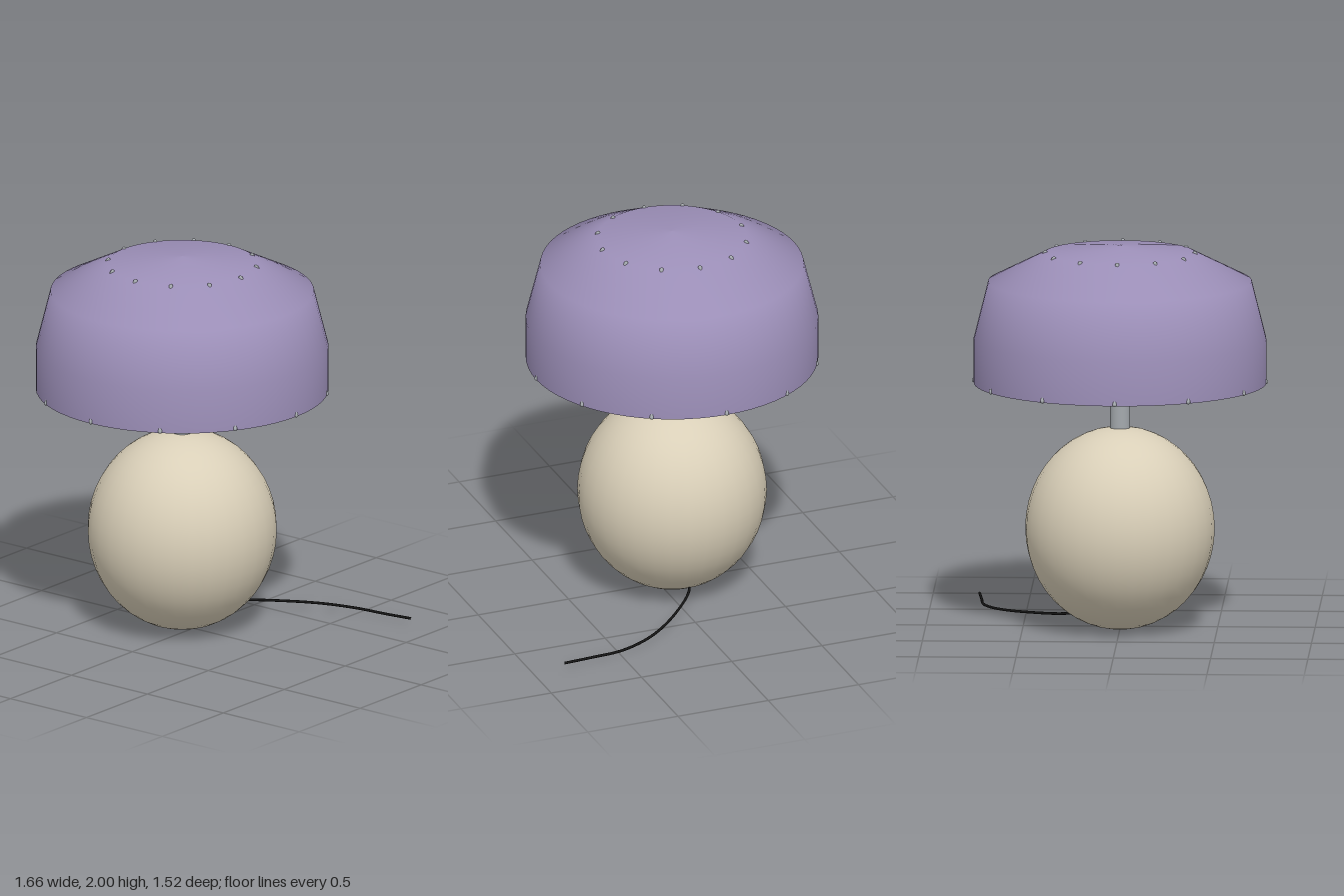
import * as THREE from 'three';

const mat = (name, color, side = THREE.FrontSide) => {
  const m = new THREE.MeshStandardMaterial({ color, side });
  m.name = name;
  return m;
};

export function createModel() {
  const purple = mat('purple shade', 0x9c8fb8, THREE.DoubleSide);
  const cream = mat('cream', 0xd9cfb8);
  const metal = mat('metal', 0xa4a9ad);
  const black = mat('black', 0x141414);

  const model = new THREE.Group();
  model.name = 'tableLamp';
  const lamp = new THREE.Group();
  lamp.name = 'lamp';
  lamp.position.x = -0.073;
  model.add(lamp);

  const add = (parent, name, geometry, material, y = 0) => {
    const mesh = new THREE.Mesh(geometry, material);
    mesh.name = name;
    mesh.position.y = y;
    parent.add(mesh);
    return mesh;
  };

  // Egg-shaped body
  const body = new THREE.SphereGeometry(0.487, 32, 24);
  body.scale(1, 0.525 / 0.487, 1);
  add(lamp, 'body', body, cream, 0.53);

  // Stem and the plate closing the shade
  add(lamp, 'stem', new THREE.CylinderGeometry(0.052, 0.052, 0.26, 32), metal, 1.155);
  add(lamp, 'diffuserPlate', new THREE.CylinderGeometry(0.642, 0.642, 0.024, 64), cream, 1.285);

  // Open shade
  const profile = [[0.752, 1.286], [0.752, 1.515], [0.677, 1.815], [0.385, 1.962], [0, 2]]
    .map(([r, y]) => new THREE.Vector2(r, y));
  add(lamp, 'shade', new THREE.LatheGeometry(profile, 64), purple);

  // Twelve rods from the rim to the crown, their round ends poking through as studs
  const low = new THREE.Vector3(0.75, 1.293, 0);
  const high = new THREE.Vector3(0.384, 1.961, 0);
  const dir = high.clone().sub(low);
  const rodGeometry = new THREE.CapsuleGeometry(0.011, dir.length(), 4, 10);
  rodGeometry.applyQuaternion(new THREE.Quaternion().setFromUnitVectors(
    new THREE.Vector3(0, 1, 0), dir.clone().normalize()));
  const mid = low.clone().add(high).multiplyScalar(0.5);
  rodGeometry.translate(mid.x, mid.y, 0);
  const frame = new THREE.Group();
  frame.name = 'shadeFrame';
  lamp.add(frame);
  for (let i = 0; i < 12; i++) {
    add(frame, 'rod', rodGeometry, metal).rotation.y = (i * Math.PI) / 6;
  }

  // Power cable trailing out of the back
  const path = new THREE.CatmullRomCurve3([
    [-0.073, 0.095, -0.2], [-0.06, 0.08, -0.27], [0.13, 0.055, -0.5], [0.32, 0.04, -0.65],
    [0.5, 0.032, -0.722], [0.66, 0.032, -0.738], [0.83, 0.035, -0.755],
  ].map((p) => new THREE.Vector3(...p)));
  add(model, 'cable', new THREE.TubeGeometry(path, 48, 0.007, 8), black);

  return model;
}
